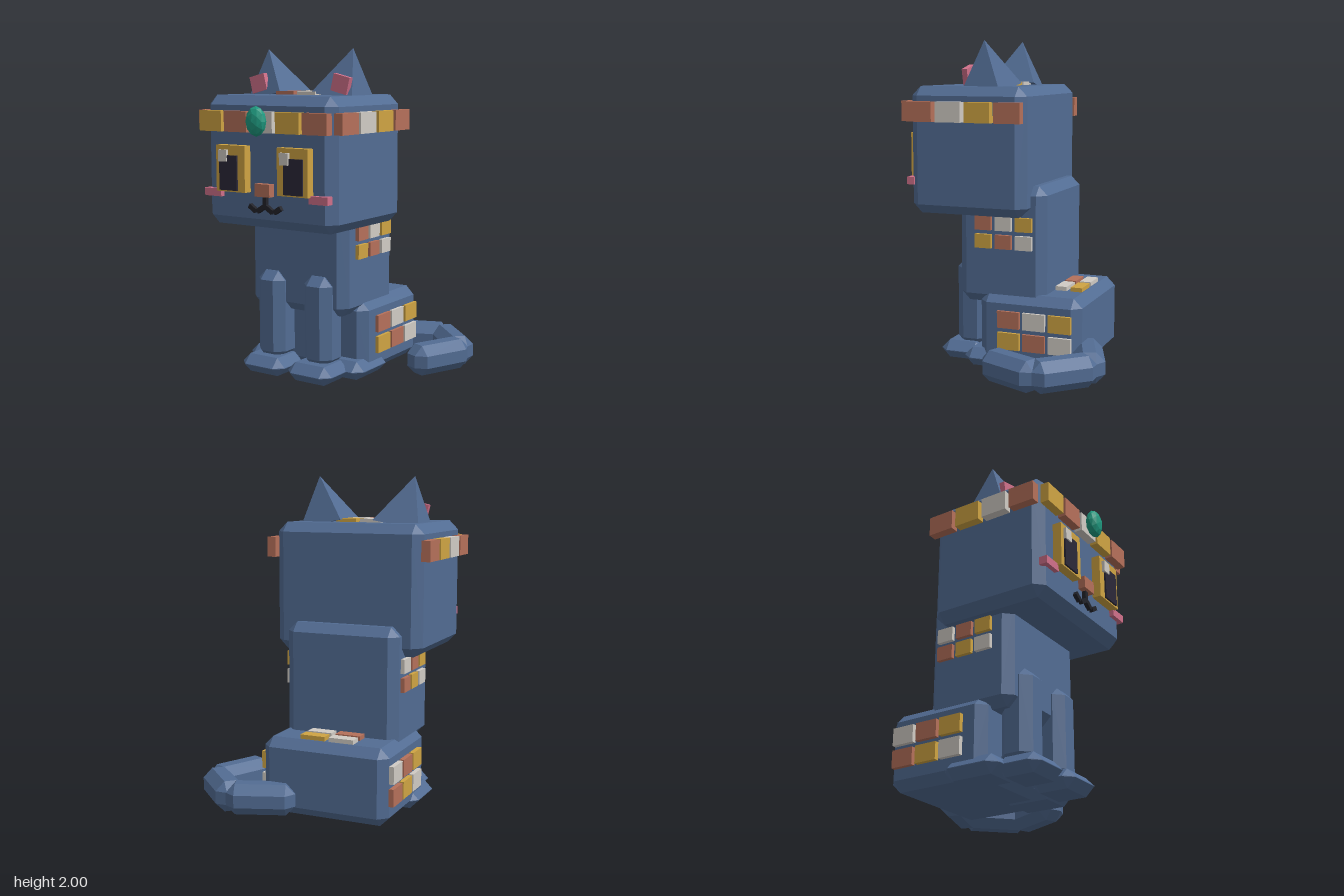
import * as THREE from 'three';
import { ConvexGeometry } from 'three/addons/geometries/ConvexGeometry.js';

const CX = -0.175; // symmetry line of the cat (the tail pushes it off centre)

function material(name, color) {
  const m = new THREE.MeshStandardMaterial({ color, flatShading: true });
  m.name = name;
  return m;
}

// Box with every edge cut by a single flat bevel
function bevelBox(w, h, d, c = 0.055) {
  const pts = [];
  const [x, y, z] = [w / 2, h / 2, d / 2];
  for (const sx of [-1, 1]) for (const sy of [-1, 1]) for (const sz of [-1, 1]) {
    pts.push(
      new THREE.Vector3(sx * x, sy * (y - c), sz * (z - c)),
      new THREE.Vector3(sx * (x - c), sy * y, sz * (z - c)),
      new THREE.Vector3(sx * (x - c), sy * (y - c), sz * z));
  }
  return new ConvexGeometry(pts);
}

export function createModel() {
  const root = new THREE.Group();
  root.name = 'cat';

  const fur = material('blue fur', 0x526c93);
  const gold = material('gold', 0xcfa443);
  const clay = material('clay', 0xb5705a);
  const ivory = material('ivory', 0xd0cbc4);
  const pink = material('pink', 0xd0708a);
  const jade = material('jade', 0x1f9a80);
  const pupilDark = material('pupil dark', 0x2b2838);
  const mouthDark = material('mouth dark', 0x22232a);

  function add(name, geo, mat, x, y, z, rotZ = 0, parent = root) {
    const m = new THREE.Mesh(geo, mat);
    m.name = name;
    m.position.set(x, y, z);
    m.rotation.z = rotZ;
    parent.add(m);
    return m;
  }
  const box = (name, mat, w, h, d, x, y, z, rotZ) =>
    add(name, new THREE.BoxGeometry(w, h, d), mat, x, y, z, rotZ);
  // Bevelled block given by its limits
  const block = (name, x0, x1, y0, y1, z0, z1, c) =>
    add(name, bevelBox(x1 - x0, y1 - y0, z1 - z0, c), fur,
      (x0 + x1) / 2, (y0 + y1) / 2, (z0 + z1) / 2);

  // Main body blocks
  block('head', -0.645, 0.295, 0.947, 1.725, -0.188, 0.566, 0.057);
  block('torso', -0.534, 0.185, 0.397, 1.13, -0.277, 0.29);
  block('haunches', -0.57, 0.228, 0.01, 0.47, -0.516, 0.138);

  // Tail: three bevelled links, [x, z, direction x, direction z]
  [[0.204, -0.565, 0.937, -0.348], [0.494, -0.5, 0.707, 0.707], [0.546, -0.215, -0.4, 0.916]]
    .forEach(([x, z, dx, dz]) => {
      add('tailLink', bevelBox(0.413, 0.186, 0.186), fur, x, 0.113, z).rotation.y = Math.atan2(-dz, dx);
    });

  // Mirrored parts
  for (const s of [-1, 1]) {
    const at = (d) => CX + s * d;

    // Legs and paws
    add('frontLeg', bevelBox(0.203, 0.56, 0.205), fur, at(0.175), 0.36, 0.251);
    add('frontPaw', bevelBox(0.32, 0.114, 0.29), fur, at(0.175), 0.058, 0.3);
    add('hindPaw', bevelBox(0.3, 0.114, 0.36), fur, at(0.283), 0.058, 0.06);

    // Ear: leaning four-sided spike
    const ear = [[0.315, 2.0, 0.128], [0.104, 1.74, -0.03], [0.386, 1.69, 0],
      [0.386, 1.69, 0.25], [0.115, 1.74, 0.28]];
    add('ear', new ConvexGeometry(ear.map(([x, y, z]) => new THREE.Vector3(s * x, y, z))), fur, CX, 0, 0);
    box('innerEar', pink, 0.114, 0.103, 0.034, at(0.304), 1.79, 0.236, -s * 0.24);

    // Eyes and cheeks
    box('eye', gold, 0.216, 0.275, 0.056, at(0.226), 1.297, 0.592);
    box('pupil', pupilDark, 0.132, 0.207, 0.02, at(0.237), 1.272, 0.621);
    box('eyeHighlight', ivory, 0.062, 0.07, 0.02, CX + (s < 0 ? -0.274 : 0.178), 1.373, 0.628);
    box('cheek', pink, 0.127, 0.047, 0.05, at(0.386), 1.146, 0.569);

    // Mouth strokes
    box('mouthInner', mouthDark, 0.066, 0.028, 0.025, at(0.027), 1.07, 0.578, -s * 0.56);
    box('mouthOuter', mouthDark, 0.056, 0.028, 0.025, at(0.092), 1.068, 0.578, s * 0.56);

    // Side tiles of the headband, front to back
    [clay, ivory, gold, clay].forEach((m, i) =>
      box('bandSideTile', m, 0.055, 0.122, 0.165, at(0.496), 1.574, 0.47 - i * 0.1897));

    // Tile patches on the sides of torso and haunches
    const cycle = [clay, ivory, gold];
    for (let row = 0; row < 2; row++) for (let col = 0; col < 3; col++) {
      const m = cycle[(col - row - (s < 0 ? 1 : 0) + 3) % 3];
      box('torsoTile', m, 0.03, 0.086, 0.106, at(0.368), 0.899 - row * 0.112, 0.116 - col * 0.132);
      box('haunchTile', m, 0.03, 0.105, 0.143, at(0.408), 0.318 - row * 0.133, -0.066 - col * 0.164);
    }
  }

  // Nose and middle of the mouth
  box('nose', clay, 0.108, 0.075, 0.05, CX, 1.18, 0.585);
  box('mouthStem', mouthDark, 0.026, 0.07, 0.025, CX, 1.112, 0.578);

  // Front of the headband with its gem
  [gold, clay, ivory, gold, clay].forEach((m, i) =>
    box('bandFrontTile', m, 0.167, 0.122, 0.052, CX + (i - 2) * 0.189, 1.574, 0.592));
  const gem = add('gem', new THREE.IcosahedronGeometry(1, 1), jade, CX, 1.582, 0.657);
  gem.scale.set(0.068, 0.088, 0.043);

  // Two-by-two patches on the crown and on the haunches
  [ivory, gold, clay, ivory].forEach((m, i) => {
    const sx = (i % 2) * 2 - 1, row = i >> 1;
    box('crownTile', m, 0.132, 0.03, 0.127, -0.172 + sx * 0.079, 1.731, 0.067 + row * 0.153);
    box('rumpTile', m, 0.156, 0.03, 0.073, -0.173 + sx * 0.091, 0.481, -0.418 + row * 0.098);
  });

  return root;
}
